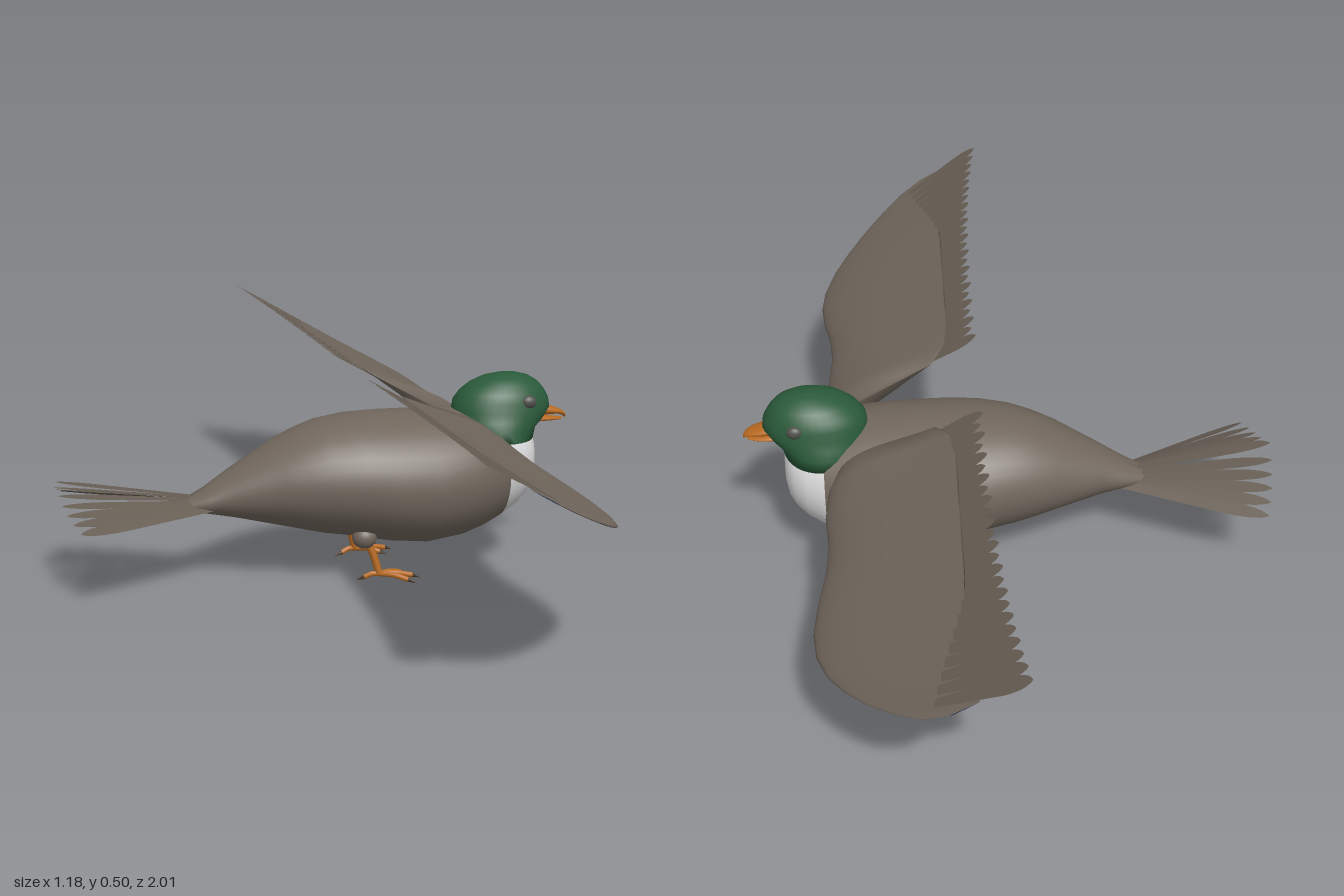
import * as THREE from 'three';

const V = (x, y, z) => new THREE.Vector3(x, y, z);
const mat = (name, color, side = THREE.FrontSide) => {
  const m = new THREE.MeshStandardMaterial({ color, side });
  m.name = name;
  return m;
};

// Skin closed rings of points; pick(i, j) gives the material slot of each quad
function loft(rings, slots = 1, pick = () => 0) {
  const n = rings[0].length, buckets = Array.from({ length: slots }, () => []);
  for (let i = 0; i < rings.length - 1; i++) {
    for (let j = 0; j < n; j++) {
      const k = (j + 1) % n, a = i * n + j, b = i * n + k;
      buckets[pick(i, j)].push(a, b, a + n, b, b + n, a + n);
    }
  }
  const end = (rings.length - 1) * n;
  for (let j = 1; j < n - 1; j++) {
    buckets[0].push(0, j + 1, j);
    buckets[slots - 1].push(end, end + j, end + j + 1);
  }
  const g = new THREE.BufferGeometry().setFromPoints(rings.flat());
  g.setIndex(buckets.flat());
  let start = 0;
  if (slots > 1) buckets.forEach((b, s) => { g.addGroup(start, b.length, s); start += b.length; });
  g.computeVertexNormals();
  return g;
}

const circle = (n, f) => Array.from({ length: n }, (_, j) => f(Math.cos(j / n * 2 * Math.PI), Math.sin(j / n * 2 * Math.PI)));
// Rings along x from [x, top, bottom, halfWidth]
const alongX = (rows, n = 36) => rows.map(([x, t, b, w]) =>
  circle(n, (c, s) => V(x, (t + b) / 2 + (t - b) / 2 * c, w * s)));

function mesh(name, geometry, material, parent) {
  const m = new THREE.Mesh(geometry, material);
  m.name = name;
  parent.add(m);
  return m;
}

// Flat rounded feather running from base to tip
function feather(base, tip, w, normal) {
  const d = tip.clone().sub(base), L = d.length(), s = new THREE.Shape();
  s.moveTo(0, -w * 0.5);
  s.lineTo(L * 0.72, -w);
  s.quadraticCurveTo(L * 0.95, -w, L, 0);
  s.quadraticCurveTo(L * 0.95, w, L * 0.72, w);
  s.lineTo(0, w * 0.5);
  const X = d.normalize(), Y = normal.clone().cross(X).normalize(), Z = X.clone().cross(Y);
  return new THREE.ShapeGeometry(s, 6).applyMatrix4(new THREE.Matrix4().makeBasis(X, Y, Z).setPosition(base));
}

export function createModel() {
  const bird = new THREE.Group();
  bird.name = 'bird';
  const brown = mat('brown plumage', 0x70665c);
  const quill = mat('feather brown', 0x675e54, THREE.DoubleSide);
  const green = mat('green head', 0x2a5a3a);
  const white = mat('white breast', 0xd6d6d6);
  const orange = mat('orange beak and legs', 0xb86a20);
  const blue = mat('blue wing lining', 0x3c4260);
  const grey = mat('grey eye', 0x50504c);
  const dark = mat('dark claw', 0x4a3826);

  // Body, with the breast as the front rings
  mesh('body', loft(alongX([
    [-0.31, 0.2, 0.176, 0.03], [-0.26, 0.226, 0.168, 0.047], [-0.2, 0.266, 0.156, 0.068],
    [-0.1, 0.325, 0.132, 0.113], [-0.05, 0.347, 0.12, 0.134], [0, 0.364, 0.108, 0.15],
    [0.07, 0.374, 0.097, 0.168], [0.15, 0.376, 0.08, 0.178], [0.24, 0.375, 0.07, 0.18],
    [0.32, 0.373, 0.08, 0.17], [0.37, 0.365, 0.095, 0.15], [0.415, 0.355, 0.115, 0.128],
    [0.455, 0.35, 0.138, 0.108], [0.482, 0.34, 0.162, 0.085], [0.497, 0.325, 0.185, 0.06],
    [0.504, 0.3, 0.215, 0.034], [0.506, 0.262, 0.252, 0.004],
  ]), 2, (i) => (i >= 11 ? 1 : 0)), [brown, white], bird);

  // Head, rings along y from [y, centreX, radiusX, radiusZ]
  mesh('head', loft([
    [0.305, 0.42, 0.085, 0.104], [0.33, 0.416, 0.096, 0.1], [0.35, 0.424, 0.11, 0.092],
    [0.37, 0.432, 0.116, 0.085], [0.39, 0.432, 0.113, 0.081], [0.41, 0.434, 0.1, 0.073],
    [0.428, 0.438, 0.081, 0.059], [0.441, 0.442, 0.056, 0.041], [0.448, 0.445, 0.028, 0.02], [0.45, 0.445, 0.003, 0.003],
  ].map(([y, cx, rx, rz]) => circle(36, (c, s) => V(cx + rx * s, y, rz * c)))), green, bird);

  // Beak
  mesh('upperBeak', loft(alongX([
    [0.52, 0.38, 0.344, 0.027], [0.55, 0.367, 0.346, 0.025], [0.572, 0.359, 0.346, 0.02],
    [0.586, 0.352, 0.341, 0.013], [0.592, 0.344, 0.335, 0.004],
  ], 16)), orange, bird);
  mesh('lowerBeak', loft(alongX([
    [0.51, 0.348, 0.33, 0.024], [0.555, 0.341, 0.331, 0.018], [0.575, 0.338, 0.332, 0.012], [0.584, 0.337, 0.334, 0.004],
  ], 16)), orange, bird);

  // Tail fan, highest in the middle
  const tail = new THREE.Group();
  tail.name = 'tail';
  bird.add(tail);
  for (let k = -5; k <= 5; k++) {
    const f = k / 5, a = Math.abs(f);
    mesh('tailFeather', feather(V(-0.24, 0.2 - 0.015 * a, f * 0.03),
      V(-0.592 + 0.03 * f * f, 0.262 - 0.07 * a ** 0.7, f * 0.178), 0.0165, V(0, 1, 0.5 * f)), quill, tail);
  }

  // Wing: an airfoil with a thick leading edge, sheared up toward the back
  const plane = (x) => 0.51 - 0.57 * (x - 0.03);
  const spans = [ // z, leading x, trailing x, thickness
    [0.12, 0.385, 0.17, 0.05], [0.17, 0.405, 0.14, 0.045], [0.25, 0.41, 0.13, 0.036], [0.35, 0.402, 0.13, 0.032],
    [0.43, 0.407, 0.13, 0.031], [0.52, 0.423, 0.13, 0.029], [0.6, 0.43, 0.13, 0.027], [0.67, 0.423, 0.13, 0.023],
    [0.74, 0.4, 0.13, 0.018], [0.8, 0.367, 0.13, 0.013], [0.86, 0.325, 0.13, 0.009], [0.92, 0.272, 0.13, 0.006],
    [0.96, 0.228, 0.13, 0.004], [0.985, 0.175, 0.12, 0.002],
  ];
  const wingGeo = loft(spans.map(([z, lead, trail, t]) => circle(28, (c, s) => {
    const x = (lead + trail) / 2 + (lead - trail) / 2 * c;
    return V(x, plane(x) + t * s * (0.08 + 0.92 * ((1 + c) / 2) ** 1.2), z);
  })), 2, (i, j) => (i >= 3 && i <= 10 && j >= 21 && j <= 26 ? 1 : 0));

  for (const side of [1, -1]) {
    const name = side > 0 ? 'near' : 'far';
    const wing = new THREE.Group();
    wing.name = name + 'Wing';
    wing.scale.z = side;
    bird.add(wing);
    mesh('wingArm', wingGeo, [brown, blue], wing);
    const count = 24;
    for (let i = 0; i < count; i++) {
      const s = i / (count - 1), z = 0.15 + 0.835 * s;
      const bx = 0.24 - 0.04 * s, tx = 0.068 - 0.04 * s ** 3 + 0.008 * (i % 2) * (1 - s);
      const h = 0.0003 * i - 0.004;
      mesh('flightFeather', feather(V(bx, plane(bx) + h, z - 0.045 * s * s),
        V(tx, plane(tx) + h, z + 0.008 * s), 0.021, V(0.5, 0.87, 0)), quill, wing);
    }

    // Eye
    const eye = mesh(name + 'Eye', new THREE.SphereGeometry(1, 20, 14), grey, bird);
    eye.scale.set(0.018, 0.015, 0.012);
    eye.position.set(0.474, 0.393, side * 0.071);

    // Leg with three front toes, one hind toe and claws
    const leg = new THREE.Group();
    leg.name = name + 'Leg';
    leg.scale.z = side;
    bird.add(leg);
    const thigh = mesh('thigh', new THREE.SphereGeometry(1, 20, 14), brown, leg);
    thigh.scale.set(0.028, 0.026, 0.026);
    thigh.position.set(0.083, 0.11, 0.09);
    const tube = (pts, r) => new THREE.TubeGeometry(new THREE.CatmullRomCurve3(pts), 10, r, 8);
    mesh('shank', tube([V(0.09, 0.1, 0.09), V(0.104, 0.065, 0.095), V(0.115, 0.025, 0.1)], 0.0085), orange, leg);
    const ankle = V(0.115, 0.025, 0.1);
    for (const [x, z] of [[0.19, 0.108], [0.172, 0.138], [0.17, 0.078], [0.082, 0.095]]) {
      const tip = V(x, 0.018, z), dir = tip.clone().sub(ankle).setY(0).normalize();
      mesh('toe', tube([ankle, ankle.clone().lerp(tip, 0.5).setY(0.025), tip], 0.0062), orange, leg);
      const claw = mesh('claw', new THREE.ConeGeometry(0.005, 0.022, 8), dark, leg);
      dir.y = -0.35;
      claw.quaternion.setFromUnitVectors(V(0, 1, 0), dir.normalize());
      claw.position.copy(tip).addScaledVector(dir, 0.01);
    }
  }
  return bird;
}
